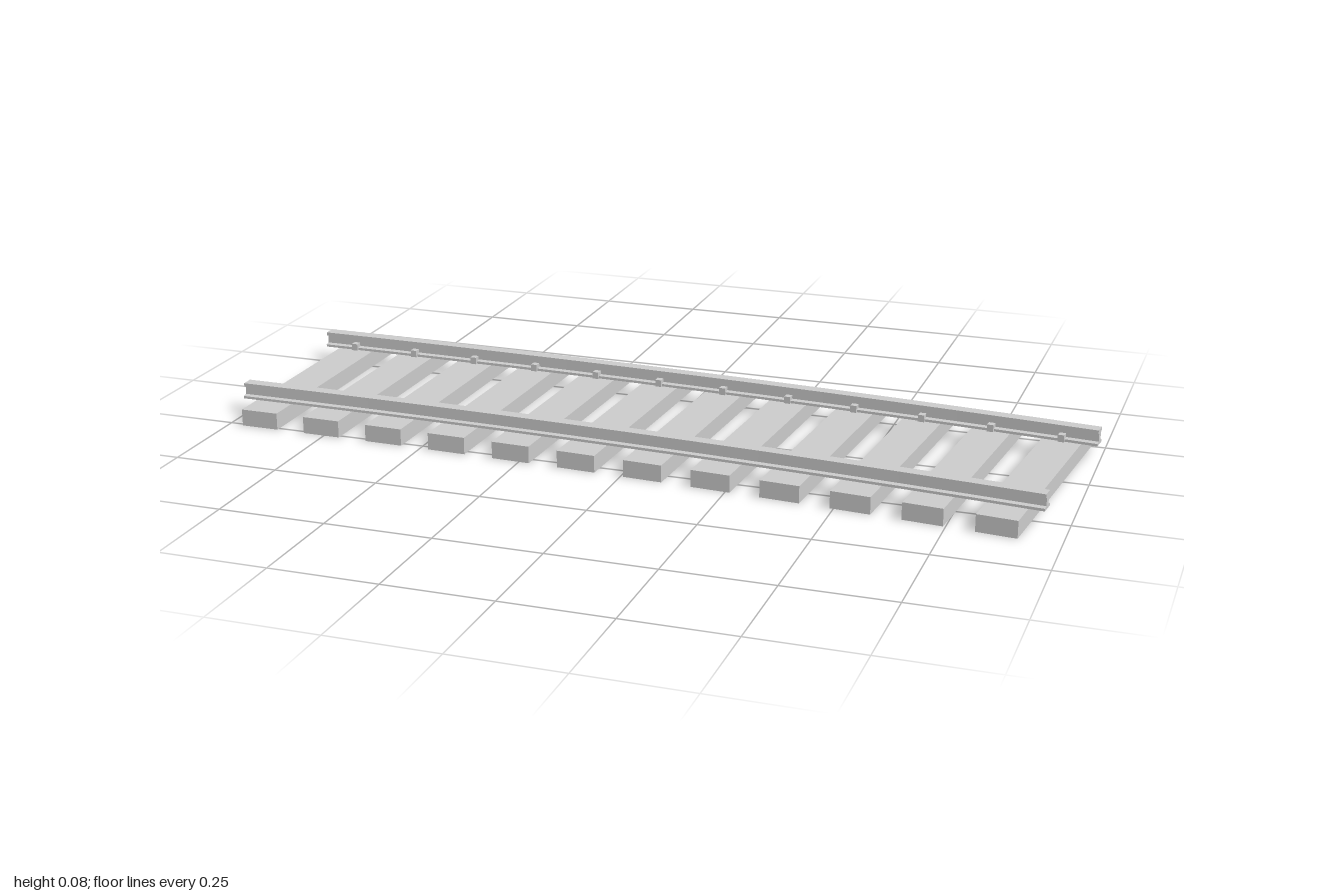
import * as THREE from 'three';

const ANGLE = 0.106;        // turn of the whole curve
const LENGTH = 1.977;       // along the centre line
const R = LENGTH / ANGLE;   // centre line radius
const Z0 = -0.0515;         // centre line z at the straight end
const RAIL = 0.217;         // rail distance from the centre line
const SLEEPERS = 12;

// Point on the curve: distance along it, and offset outwards (towards -z)
function onCurve(s, offset) {
  const a = s / R;
  const r = R + offset;
  return [-1 + r * Math.sin(a), Z0 + R - r * Math.cos(a)];
}

// Right half of the rail section (foot, web, head), mirrored to a closed outline
function railShape() {
  const half = [[0.019, 0.04], [0.019, 0.046], [0.008, 0.048], [0.008, 0.067], [0.0145, 0.069], [0.0145, 0.077]];
  const left = half.map(([x, y]) => [-x, y]).reverse();
  return new THREE.Shape([...half, ...left].map(([x, y]) => new THREE.Vector2(x, y)));
}

// Straight extrusion bent along the curve
function railGeometry(offset) {
  const geo = new THREE.ExtrudeGeometry(railShape(), { depth: LENGTH, steps: 12, bevelEnabled: false });
  const p = geo.attributes.position;
  for (let i = 0; i < p.count; i++) {
    const [x, z] = onCurve(p.getZ(i), offset + p.getX(i));
    p.setXYZ(i, x, p.getY(i), z);
  }
  geo.computeVertexNormals();
  return geo;
}

export function createModel() {
  const group = new THREE.Group();
  group.name = 'curvedTrack';
  const material = new THREE.MeshStandardMaterial({ color: 0xcccccc, flatShading: true });

  // Rails
  for (const side of [1, -1]) {
    const rail = new THREE.Mesh(railGeometry(side * RAIL), material);
    rail.name = side > 0 ? 'outerRail' : 'innerRail';
    group.add(rail);
  }

  // Sleepers, each with a spike on the inner side of both rails
  const sleeperGeo = new THREE.BoxGeometry(0.092, 0.04, 0.62);
  const spikeGeo = new THREE.BoxGeometry(0.015, 0.017, 0.018);
  for (let i = 0; i < SLEEPERS; i++) {
    const s = (i + 0.5) * LENGTH / SLEEPERS;
    const [x, z] = onCurve(s, 0);
    const unit = new THREE.Group();
    unit.name = 'sleeperUnit' + (i + 1);
    unit.position.set(x, 0, z);
    unit.rotation.y = -s / R;

    const sleeper = new THREE.Mesh(sleeperGeo, material);
    sleeper.name = 'sleeper';
    sleeper.position.y = 0.02;
    unit.add(sleeper);

    for (const side of [1, -1]) {
      const spike = new THREE.Mesh(spikeGeo, material);
      spike.name = 'spike';
      spike.position.set(0, 0.0485, side * (RAIL - 0.016));
      unit.add(spike);
    }
    group.add(unit);
  }
  return group;
}
